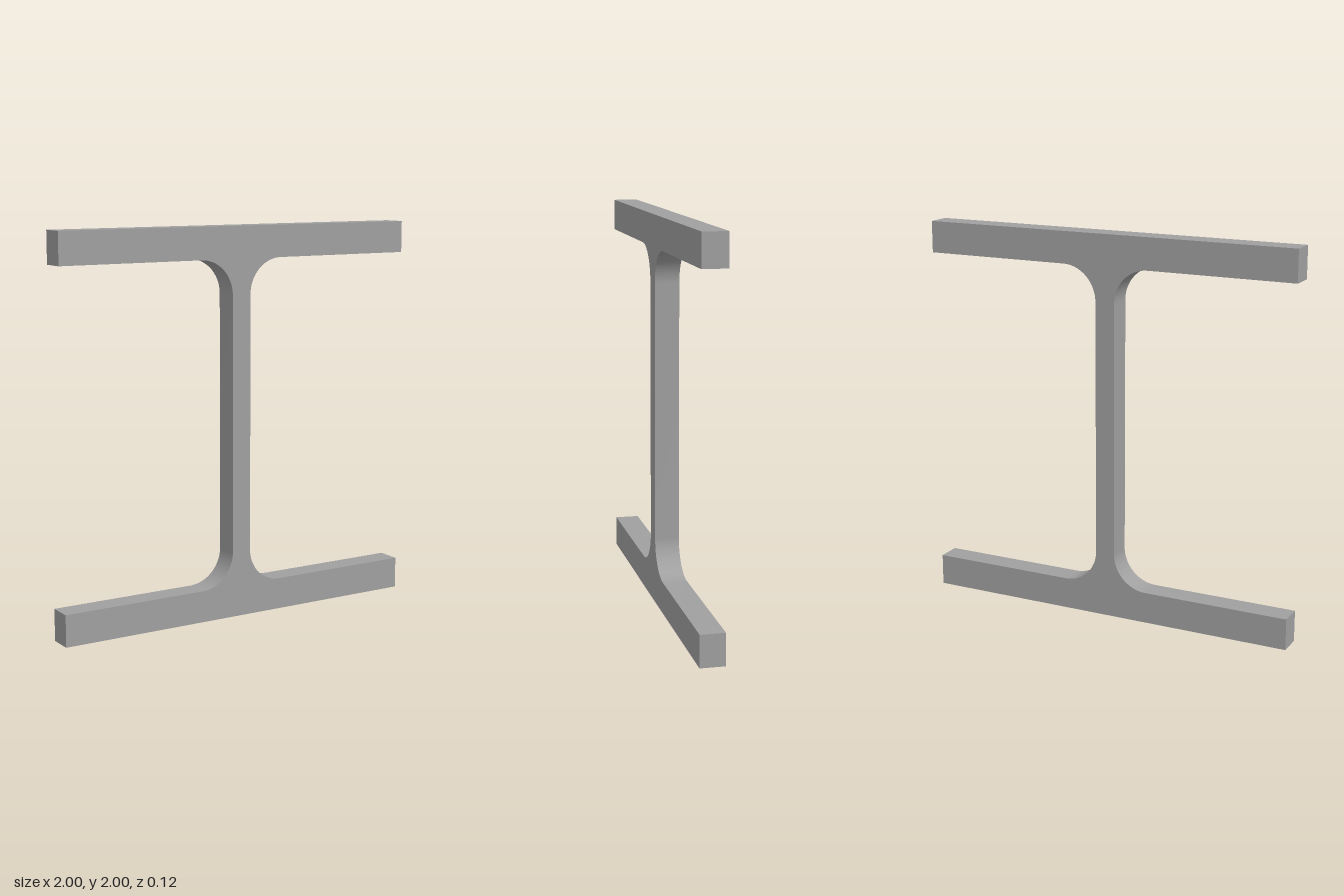
import * as THREE from 'three';
import { toCreasedNormals } from 'three/addons/utils/BufferGeometryUtils.js';

const HEIGHT = 2;
const HALF_WIDTH = 1;
const FLANGE = 0.163; // flange thickness
const WEB = 0.052;    // half the web thickness
const RADIUS = 0.18;  // fillet between web and flange
const DEPTH = 0.125;

// I-beam outline, counter-clockwise from the bottom left corner
function beamProfile() {
  const cx = WEB + RADIUS;
  const low = FLANGE + RADIUS;
  const high = HEIGHT - low;
  const q = Math.PI / 2;
  const s = new THREE.Shape();
  s.moveTo(-HALF_WIDTH, 0);
  s.lineTo(HALF_WIDTH, 0);
  s.lineTo(HALF_WIDTH, FLANGE);
  // left side of the web with its two fillets
  s.absarc(cx, low, RADIUS, -q, -2 * q, true);
  s.absarc(cx, high, RADIUS, 2 * q, q, true);
  s.lineTo(HALF_WIDTH, HEIGHT - FLANGE);
  s.lineTo(HALF_WIDTH, HEIGHT);
  s.lineTo(-HALF_WIDTH, HEIGHT);
  s.lineTo(-HALF_WIDTH, HEIGHT - FLANGE);
  // right side of the web with its two fillets
  s.absarc(-cx, high, RADIUS, q, 0, true);
  s.absarc(-cx, low, RADIUS, 0, -q, true);
  s.lineTo(-HALF_WIDTH, FLANGE);
  s.closePath();
  return s;
}

export function createModel() {
  const steel = new THREE.MeshStandardMaterial({ color: 0xa0a0a0 });
  steel.name = 'steel grey';

  // short slice of beam, smooth only around the fillets
  const geometry = new THREE.ExtrudeGeometry(beamProfile(), {
    depth: DEPTH, bevelEnabled: false, curveSegments: 24,
  });
  geometry.translate(0, 0, -DEPTH / 2);

  const beam = new THREE.Mesh(toCreasedNormals(geometry, 0.5), steel);
  beam.name = 'beamSection';

  const group = new THREE.Group();
  group.name = 'iBeam';
  group.add(beam);
  return group;
}
